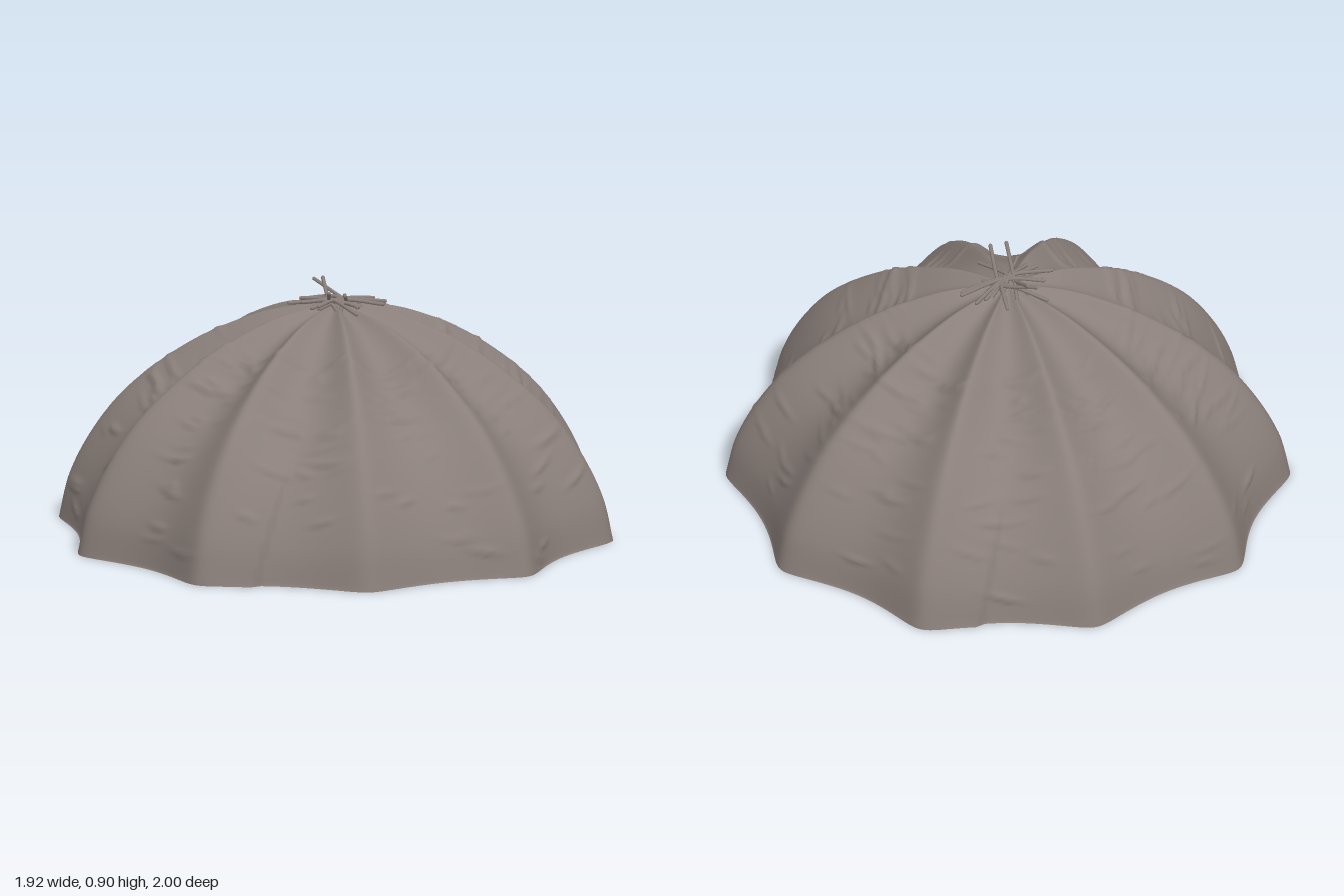
import * as THREE from 'three';

const RIBS = 10, AROUND = 400, ROWS = 110;
const STEP = (Math.PI * 2) / RIBS;

// Seeded random numbers
let seed = 7;
const rnd = () => (seed = (seed * 16807) % 2147483647) / 2147483647;
const between = (a, b) => a + (b - a) * rnd();

const profile = (pts) => new THREE.CatmullRomCurve3(pts.map(([r, y]) => new THREE.Vector3(r, y, 0)));
const outerProfile = profile([[1, 0], [0.965, 0.15], [0.89, 0.305], [0.775, 0.46], [0.62, 0.595],
  [0.46, 0.697], [0.25, 0.785], [0.1, 0.815], [0, 0.825]]);
const innerProfile = profile([[0.79, 0], [0.76, 0.15], [0.68, 0.32], [0.55, 0.455],
  [0.38, 0.555], [0.2, 0.615], [0, 0.635]]);

// 0 on a rib, 1 in the middle of a panel; blunt rounds the rib
function sag(theta, blunt) {
  const s = Math.abs(theta / STEP - Math.round(theta / STEP)) * 2;
  const round = (Math.hypot(s, blunt) - blunt) / (Math.hypot(1, blunt) - blunt);
  return 1 - (1 - round) ** 2;
}

// Cloth folds: short sagging strokes spread over each panel
const folds = [];
for (let panel = 0; panel < RIBS; panel++) {
  for (let k = 0; k < 28; k++) {
    const high = k < 20;
    folds.push({
      theta: (panel + between(0.15, 0.85)) * STEP,
      v: high ? between(0.4, 0.7) : between(0.03, 0.4),
      half: between(0.03, 0.08),
      tilt: between(-0.3, 0.3),
      height: between(0.004, 0.01),
    });
  }
}

const wrap = (a) => Math.atan2(Math.sin(a), Math.cos(a));
function foldHeight(theta, v, r, length) {
  let h = 0;
  for (const f of folds) {
    const along = wrap(theta - f.theta) * r;
    if (Math.abs(along) > f.half * 2) continue;
    const across = (v - f.v) * length - f.tilt * along - along * along * 1.2;
    if (Math.abs(across) > 0.06) continue;
    const width = across > 0 ? 0.018 : 0.006;
    h += f.height * Math.exp(-((along / f.half) ** 2) - (across / width) ** 2);
  }
  return Math.min(h, 0.012);
}

// Overlapping cloth edge at the two entrances
function flapHeight(theta, v) {
  let h = 0;
  for (const [edge, size] of [[-0.436, 0.025], [Math.PI - 0.436, 0.018]]) {
    const d = wrap(theta - edge - v * 0.22);
    const ramp = d < 0 ? 1 + d / 0.19 : 1 - d / 0.025;
    h += size * Math.max(0, ramp) * Math.max(0, 1 - (v / 0.4) ** 4);
  }
  return h;
}

// Moves a profile point along its normal and turns it about the y axis
function shellPoint(curve, theta, v, offsetAt) {
  const p = curve.getPointAt(v), t = curve.getTangentAt(v);
  const offset = offsetAt(p.x);
  const r = Math.max(0, p.x + t.y * offset);
  const y = v === 0 ? 0 : Math.max(0, p.y - t.x * offset);
  return [r * Math.sin(theta), y, r * Math.cos(theta)];
}

const coverLength = outerProfile.getLength();
const outer = (theta, v) => shellPoint(outerProfile, theta, v, (r) => {
  const dip = sag(theta, 0.13);
  return -0.078 * dip * Math.min(1, r / 0.5)
    + 0.014 * (1 - dip) * Math.sin(2 * theta) ** 2 * r
    + foldHeight(theta, v, r, coverLength) + flapHeight(theta, v);
});
const inner = (theta, v) => shellPoint(innerProfile, theta, v,
  (r) => -0.08 * sag(theta, 0.01) * Math.min(1, r / 0.3));

// Closed ring surface made from rows of points
function ringSurface(rows, pointAt, inward = false) {
  const pos = [], index = [];
  for (let j = 0; j <= rows; j++)
    for (let i = 0; i < AROUND; i++) pos.push(...pointAt((i / AROUND) * Math.PI * 2, j / rows));
  for (let j = 0; j < rows; j++)
    for (let i = 0; i < AROUND; i++) {
      const n = (i + 1) % AROUND;
      const a = j * AROUND + i, b = j * AROUND + n, c = b + AROUND, d = a + AROUND;
      index.push(...(inward ? [a, c, b, a, d, c] : [a, b, c, a, c, d]));
    }
  const g = new THREE.BufferGeometry();
  g.setAttribute('position', new THREE.Float32BufferAttribute(pos, 3));
  g.setIndex(index);
  g.computeVertexNormals();
  return g;
}

export function createModel() {
  const group = new THREE.Group();
  const hide = new THREE.MeshStandardMaterial({ color: 0x8a7f7a });
  hide.name = 'weathered hide';
  const add = (name, geometry, parent = group) => {
    const m = new THREE.Mesh(geometry, hide);
    m.name = name;
    parent.add(m);
    return m;
  };

  // Ribbed cover, hollow inside, with a thick foot
  add('outerCover', ringSurface(ROWS, outer));
  add('innerLining', ringSurface(16, inner, true));
  add('footRim', ringSurface(1, (theta, v) => (v === 0 ? inner(theta, 0) : outer(theta, 0))));

  // Crossed pole ends tied at the crown
  const poles = new THREE.Group();
  poles.name = 'crownPoles';
  group.add(poles);
  for (let i = 0; i < 16; i++) {
    const a = i * 2.4 + between(-0.6, 0.6), len = between(0.11, 0.19);
    const lift = i % 4 === 0 ? between(0.06, 0.085) : between(-0.01, 0.035);
    const x = Math.sin(a), z = Math.cos(a), side = between(-0.035, 0.035);
    const curve = new THREE.CatmullRomCurve3([
      new THREE.Vector3(-x * 0.09 + z * side, 0.815, -z * 0.09 - x * side),
      new THREE.Vector3(x * 0.02 + z * side, 0.84, z * 0.02 - x * side),
      new THREE.Vector3(x * len + z * side * 0.5, 0.82 + lift, z * len - x * side * 0.5),
    ]);
    add('pole', new THREE.TubeGeometry(curve, 8, 0.007, 6), poles);
    const cap = add('poleEnd', new THREE.SphereGeometry(0.007, 6, 4), poles);
    cap.position.copy(curve.getPoint(1));
  }
  return group;
}
